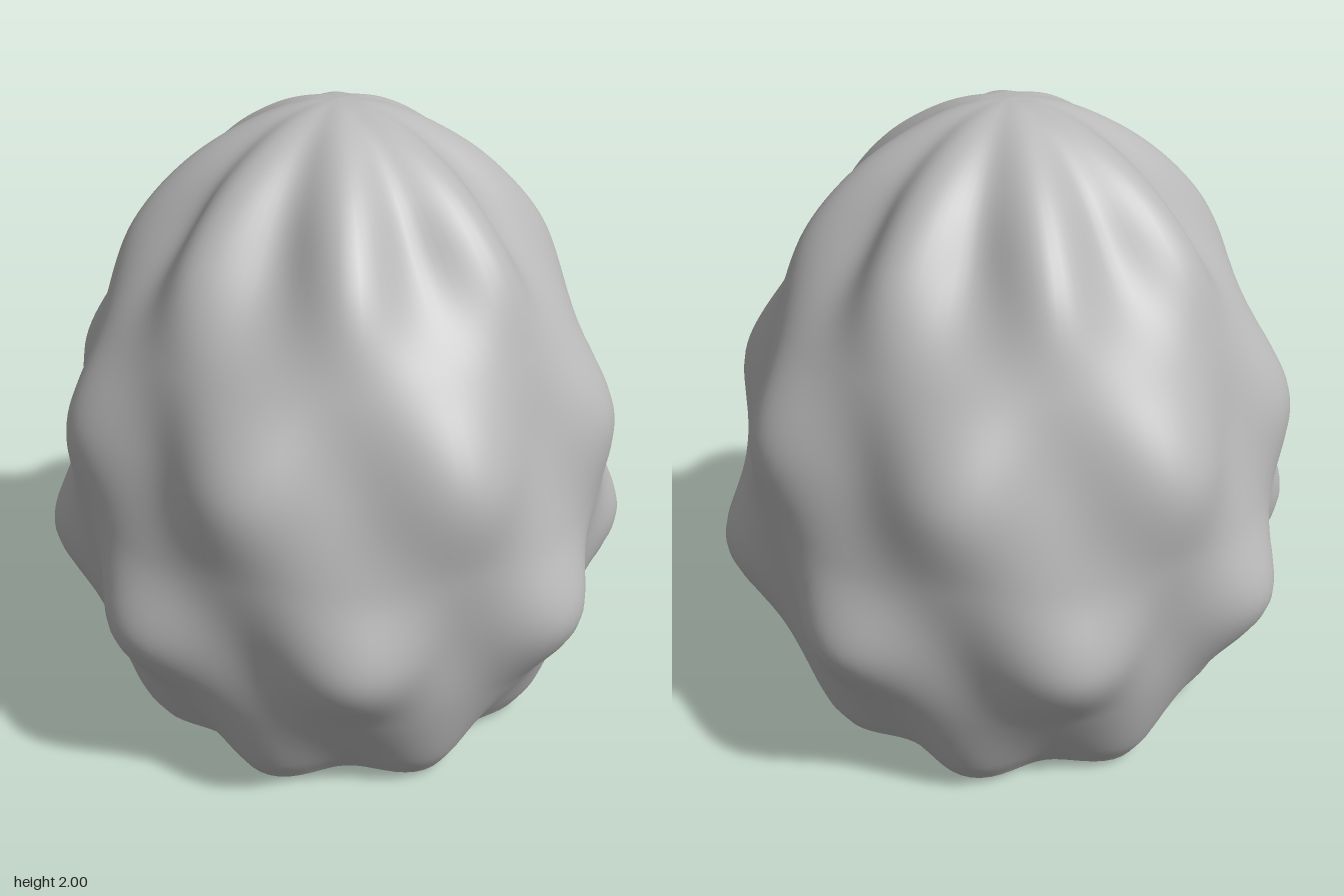
import * as THREE from 'three';
import { mergeVertices } from 'three/addons/utils/BufferGeometryUtils.js';

const LOBES = 8;
const SEGMENTS = 128;

// Surface of revolution whose radius swells and dips eight times per turn.
// Each ring is (mean radius, height, lobe depth); a negative depth shifts the lobes half a step.
function lobedLathe(rings) {
  const profile = rings.map((p) => new THREE.Vector2(Math.max(p.x, 0), p.y));
  let geometry = new THREE.LatheGeometry(profile, SEGMENTS);
  const pos = geometry.attributes.position;
  for (let i = 0; i < pos.count; i++) {
    const ring = rings[i % rings.length];
    const angle = (Math.floor(i / rings.length) % SEGMENTS) / SEGMENTS * Math.PI * 2;
    const r = Math.max(ring.x, 0) + ring.z * Math.cos(LOBES * angle);
    pos.setXYZ(i, r * Math.sin(angle), ring.y, r * Math.cos(angle));
  }
  // Weld the seam and the pole so the shading is smooth all round
  geometry.deleteAttribute('uv');
  geometry.deleteAttribute('normal');
  geometry = mergeVertices(geometry, 1e-5);
  geometry.computeVertexNormals();
  return geometry;
}

export function createModel() {
  const group = new THREE.Group();
  group.name = 'lobedDome';
  const grey = new THREE.MeshStandardMaterial({ color: 0xb8b8b8 });
  grey.name = 'grey';

  // Body: four staggered rows of bumps between the foot and the tip
  const keys = [
    [0.595, 0.03, 0.04], [0.655, 0.12, 0.035], [0.768, 0.36, -0.005],
    [0.86, 0.61, -0.06], [0.838, 0.87, 0], [0.81, 1.14, 0.047],
    [0.70, 1.4, 0.002], [0.545, 1.65, -0.052], [0.39, 1.83, -0.038],
    [0.22, 1.945, -0.016], [0.1, 1.988, -0.005], [0, 2, 0],
  ].map(([r, y, a]) => new THREE.Vector3(r, y, a));
  const curve = new THREE.CatmullRomCurve3(keys);
  const body = new THREE.Mesh(lobedLathe(curve.getPoints(110)), grey);
  body.name = 'bumpyBody';
  group.add(body);

  // Nearly flat underside with a lifted scalloped rim
  const base = new THREE.Mesh(lobedLathe([
    new THREE.Vector3(0, 0, 0),
    new THREE.Vector3(0.5, 0.004, 0.02),
    new THREE.Vector3(0.595, 0.03, 0.04),
  ]), grey);
  base.name = 'underside';
  group.add(base);

  return group;
}
